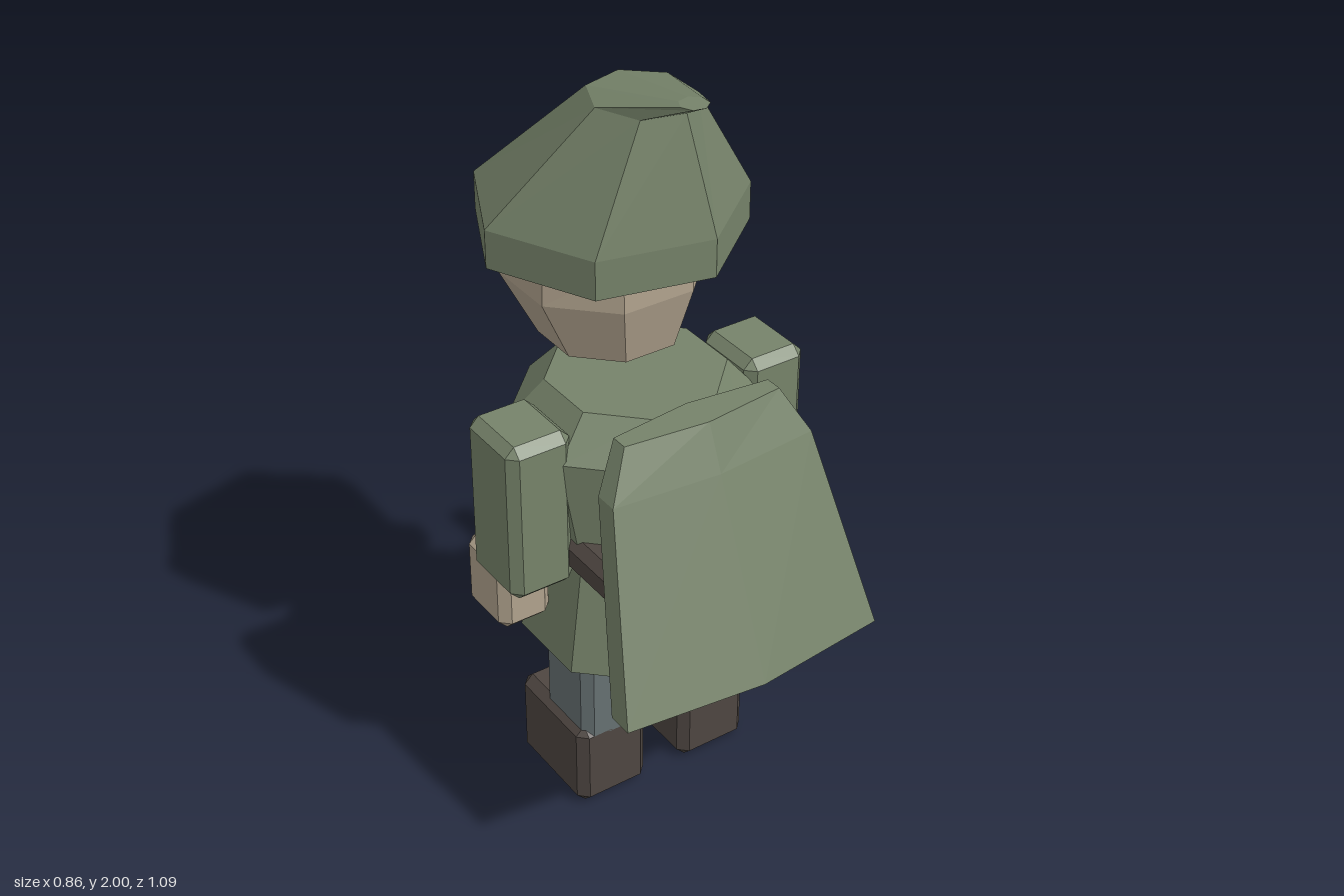
import * as THREE from 'three';
import { ConvexGeometry } from 'three/addons/geometries/ConvexGeometry.js';

const mat = (name, color) => {
  const m = new THREE.MeshStandardMaterial({ color });
  m.name = name;
  return m;
};

// Box with cut corners and edges, given by its min and max on each axis
function chamferBox([x0, x1], [y0, y1], [z0, z1], c = 0.025) {
  const h = [(x1 - x0) / 2, (y1 - y0) / 2, (z1 - z0) / 2];
  const pts = [];
  for (const sx of [-1, 1]) for (const sy of [-1, 1]) for (const sz of [-1, 1])
    for (let k = 0; k < 3; k++) {
      const e = h.map((v, i) => (i === k ? v : v - c));
      pts.push(new THREE.Vector3(sx * e[0], sy * e[1], sz * e[2]));
    }
  return new ConvexGeometry(pts).translate((x0 + x1) / 2, (y0 + y1) / 2, (z0 + z1) / 2);
}

// Horizontal ring of n corners
function ring(n, phase, y, rx, rz, cz) {
  return Array.from({ length: n }, (_, i) => {
    const a = phase + (i / n) * Math.PI * 2;
    return new THREE.Vector3(Math.cos(a) * rx, y, cz + Math.sin(a) * rz);
  });
}

// Faceted closed body through rings from bottom to top
function loft(rings) {
  const out = [];
  const tri = (...v) => v.forEach((p) => out.push(p.x, p.y, p.z));
  const mid = (r) => r.reduce((s, p) => s.add(p), new THREE.Vector3()).divideScalar(r.length);
  const n = rings[0].length;
  const top = rings[rings.length - 1];
  const lowMid = mid(rings[0]), topMid = mid(top);
  for (let i = 0; i < n; i++) {
    const j = (i + 1) % n;
    for (let k = 0; k + 1 < rings.length; k++) {
      const lo = rings[k], up = rings[k + 1];
      tri(lo[i], up[i], lo[j]);
      tri(up[i], up[j], lo[j]);
    }
    tri(lowMid, rings[0][i], rings[0][j]);
    tri(topMid, top[j], top[i]);
  }
  const g = new THREE.BufferGeometry();
  g.setAttribute('position', new THREE.Float32BufferAttribute(out, 3));
  g.computeVertexNormals();
  return g;
}

export function createModel() {
  const model = new THREE.Group();
  model.name = 'hoodedSwordsman';
  const green = mat('green cloth', 0x76836a);
  const skin = mat('skin', 0xb0a28d);
  const grey = mat('grey', 0x667072);
  const brown = mat('dark leather', 0x4e4641);
  const add = (name, geometry, material) => {
    const m = new THREE.Mesh(geometry, material);
    m.name = name;
    model.add(m);
    return m;
  };

  // Pointed hat, bent towards the back
  add('hat', loft([
    [1.54, 0.34, 0.34, -0.125],
    [1.64, 0.34, 0.34, -0.125],
    [1.943, 0.125, 0.14, 0.012],
    [2.0, 0.036, 0.036, 0.214],
  ].map((r) => ring(7, Math.PI, ...r))), green);

  // Octagonal bodies: y, half width, half depth, centre z
  const octagon = (rows) => loft(rows.map(([y, w, d, z]) => {
    const k = 1 / Math.cos(Math.PI / 8);
    return ring(8, Math.PI / 8, y, w * k, d * k, z);
  }));
  add('head', octagon([
    [1.28, 0.168, 0.168, -0.118],
    [1.44, 0.237, 0.237, -0.15],
    [1.56, 0.235, 0.222, -0.138],
  ]), skin);
  add('tunic', octagon([
    [0.495, 0.3, 0.285, 0.025],
    [0.8, 0.25, 0.25, 0.018],
    [1.1, 0.295, 0.293, -0.017],
    [1.205, 0.21, 0.21, -0.01],
  ]), green);

  // Cape: y, half width, outer side z, outer centre z, inner side z, inner centre z
  add('cape', loft([
    [0.597, 0.372, 0.505, 0.545, 0.437, 0.405],
    [1.1, 0.287, 0.32, 0.345, 0.258, 0.235],
    [1.22, 0.222, 0.27, 0.295, 0.225, 0.2],
  ].map(([y, w, os, oc, is, ic]) => [
    [w, os], [0, oc], [-w, os], [-w, is], [0, ic], [w, is],
  ].map(([x, z]) => new THREE.Vector3(x, y, z)))), green);

  // Belt and shoulder strap
  add('belt', chamferBox([-0.275, 0.275], [0.77, 0.87], [-0.29, 0.3]), brown);
  const strap = add('shoulderStrap', new THREE.BoxGeometry(0.62, 0.085, 0.09), brown);
  strap.position.set(0.005, 0.977, -0.26);
  strap.rotation.z = Math.atan2(0.38, 0.47);

  // Limbs on both sides
  for (const [side, s] of [['left', 1], ['right', -1]]) {
    const span = (a, b) => (s > 0 ? [a, b] : [-b, -a]);
    add(side + 'Arm', chamferBox(span(0.255, 0.432), [0.74, 1.185], [-0.1, 0.11]), green);
    add(side + 'Hand', chamferBox(span(0.28, 0.426), [0.598, 0.81], [-0.145, 0.035]), skin);
    add(side + 'Leg', chamferBox(span(0.07, 0.248), [0.2, 0.6], [-0.075, 0.127]), grey);
    add(side + 'Boot', chamferBox(span(0.055, 0.264), [0, 0.255], [-0.175, 0.127]), brown);
  }

  // Blade pointing forward from the left hand
  const outline = new THREE.Shape([
    [0.08, 0.77], [0.08, 0.65], [0.455, 0.72], [0.545, 0.825],
  ].map(([f, y]) => new THREE.Vector2(f, y)));
  const blade = new THREE.ExtrudeGeometry(outline, { depth: 0.075, bevelEnabled: false });
  add('blade', blade.rotateY(Math.PI / 2).translate(0.298, 0, 0), grey);

  return model;
}
